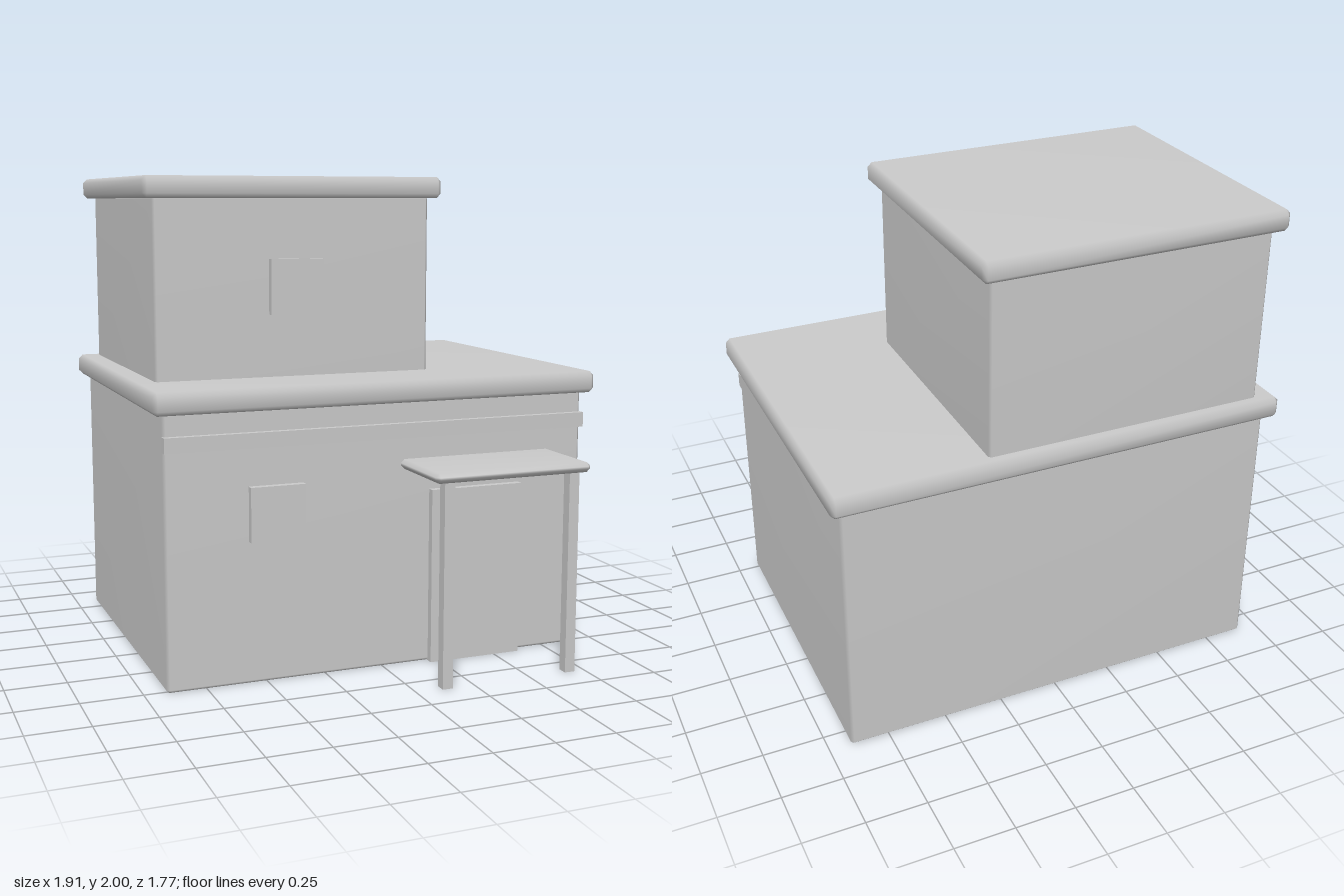
import * as THREE from 'three';
import { ConvexGeometry } from 'three/addons/geometries/ConvexGeometry.js';
import { mergeVertices } from 'three/addons/utils/BufferGeometryUtils.js';

const material = new THREE.MeshStandardMaterial({ color: 0xcccccc });

// Box with 45 degree chamfers of size c and softly blended normals
function chamferBox(w, h, d, c) {
  const points = [];
  for (const x of [-1, 1]) for (const y of [-1, 1]) for (const z of [-1, 1]) {
    for (let axis = 0; axis < 3; axis++) {
      const inset = [c, c, c];
      inset[axis] = 0;
      points.push(new THREE.Vector3(x * (w / 2 - inset[0]), y * (h / 2 - inset[1]), z * (d / 2 - inset[2])));
    }
  }
  const geometry = new ConvexGeometry(points);
  geometry.deleteAttribute('normal');
  const merged = mergeVertices(geometry, 1e-4);
  merged.computeVertexNormals();
  return merged;
}

export function createModel() {
  const model = new THREE.Group();
  model.name = 'house';

  // Adds a block spanning the given ranges, chamfered when c > 0
  function block(name, [x0, x1], [y0, y1], [z0, z1], c = 0) {
    const size = [x1 - x0, y1 - y0, z1 - z0];
    const geometry = c ? chamferBox(...size, c) : new THREE.BoxGeometry(...size);
    const mesh = new THREE.Mesh(geometry, material);
    mesh.name = name;
    mesh.position.set((x0 + x1) / 2, (y0 + y1) / 2, (z0 + z1) / 2);
    model.add(mesh);
  }

  // Ground floor and its roof slab
  block('groundFloor', [-0.913, 0.91], [0, 1.105], [-0.84, 0.525], 0.012);
  block('groundFloorRoof', [-0.957, 0.953], [1.1, 1.19], [-0.885, 0.57], 0.018);

  // Upper floor and its roof slab
  block('upperFloor', [-0.868, 0.315], [1.18, 1.92], [-0.84, 0.25], 0.01);
  block('upperRoof', [-0.915, 0.36], [1.913, 2], [-0.885, 0.295], 0.018);

  // Raised front details
  block('upperWindow', [-0.39, -0.163], [1.445, 1.67], [0.22, 0.28]);
  block('lowerWindow', [-0.572, -0.345], [0.578, 0.8], [0.5, 0.555]);
  block('facadeBand', [-0.913, 0.91], [0.953, 1.015], [0.5, 0.55]);
  block('door', [0.205, 0.615], [0, 0.732], [0.5, 0.555]);

  // Porch canopy on two posts
  block('canopy', [0.068, 0.75], [0.828, 0.868], [0.53, 0.888], 0.015);
  for (const [name, x] of [['rightPost', 0.132], ['leftPost', 0.683]]) {
    block(name, [x - 0.022, x + 0.022], [0, 0.835], [0.825, 0.869]);
  }
  return model;
}
